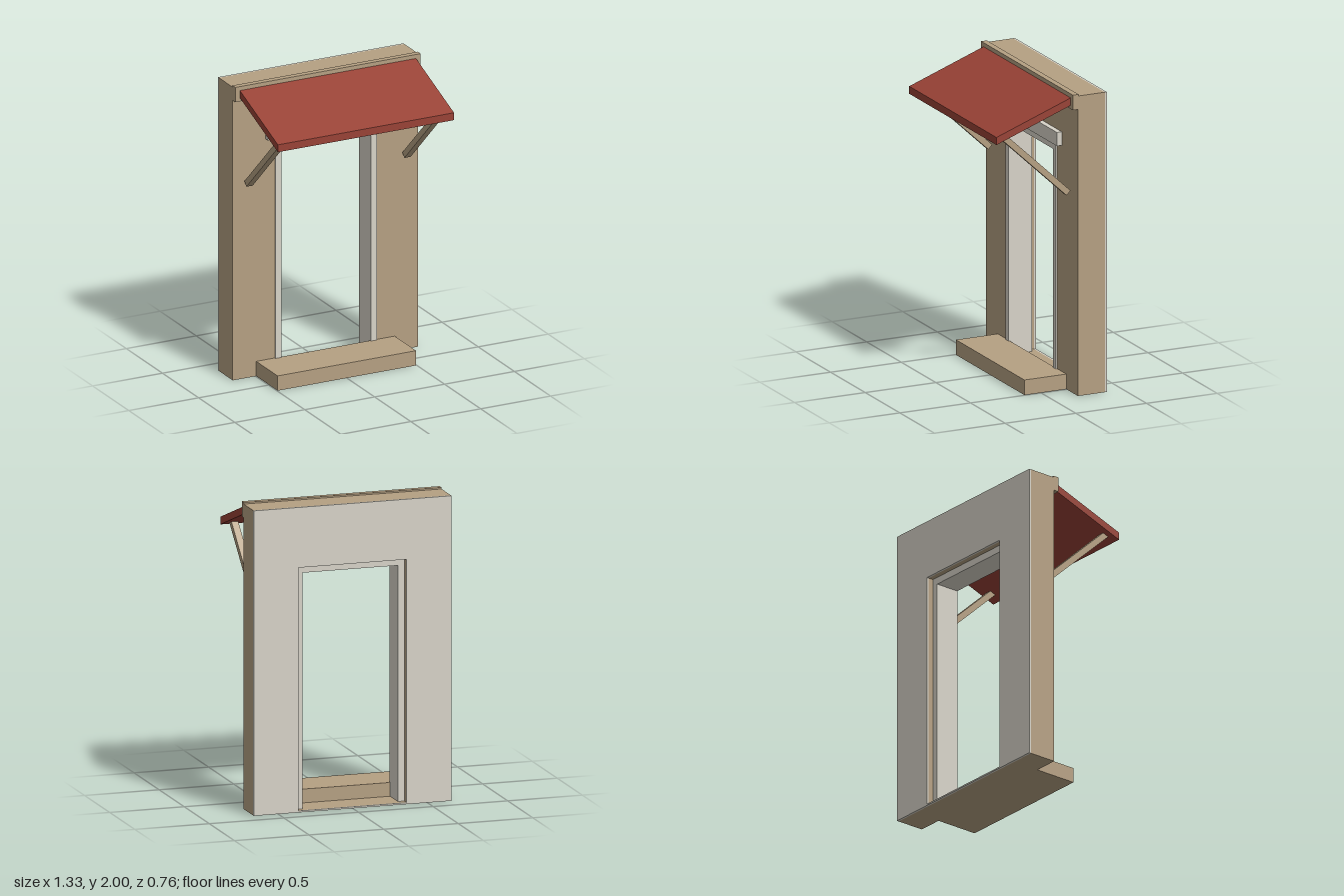
import * as THREE from 'three';

export function createModel() {
  const group = new THREE.Group();
  const mat = (name, color) => {
    const m = new THREE.MeshStandardMaterial({ color });
    m.name = name;
    return m;
  };
  const tan = mat('tan plaster', 0xb5a082);
  const stone = mat('pale stone', 0xd7d3c8);
  const red = mat('red canopy', 0x984236);

  const add = (name, geometry, material) => {
    const mesh = new THREE.Mesh(geometry, material);
    mesh.name = name;
    group.add(mesh);
    return mesh;
  };

  // Box given by its lower and upper corners
  const box = (name, material, [x0, y0, z0], [x1, y1, z1]) => {
    const mesh = add(name, new THREE.BoxGeometry(x1 - x0, y1 - y0, z1 - z0), material);
    mesh.position.set((x0 + x1) / 2, (y0 + y1) / 2, (z0 + z1) / 2);
    return mesh;
  };

  // Closed outline extruded along z from z0 to z1
  const points = (list) => list.map(([x, y]) => new THREE.Vector2(x, y));
  const extrude = (outline, hole, z0, z1) => {
    const shape = new THREE.Shape(points(outline));
    if (hole) shape.holes.push(new THREE.Path(points(hole)));
    const g = new THREE.ExtrudeGeometry(shape, { depth: z1 - z0, bevelEnabled: false });
    return g.translate(0, 0, z0);
  };
  const rect = (w, y0, y1) => [[-w, y0], [w, y0], [w, y1], [-w, y1]];

  // Wall with doorway, and its pale inner lining
  const wall = rect(0.663, 0, 1.99);
  const doorway = rect(0.362, 0.01, 1.597);
  add('wall', extrude(wall, doorway, -0.37, -0.18), tan);
  add('wallLining', extrude(wall, doorway, -0.384, -0.37), stone);

  // Door frame: two jambs and a head in one piece
  add('doorFrame', extrude([
    [-0.362, 0.01], [-0.32, 0.01], [-0.32, 1.55], [0.32, 1.55],
    [0.32, 0.01], [0.362, 0.01], [0.362, 1.597], [-0.362, 1.597],
  ], null, -0.335, -0.17), stone);

  // Lintel, cornice and front step
  box('lintel', stone, [-0.43, 1.6, -0.18], [0.43, 1.69, -0.145]);
  box('cornice', tan, [-0.663, 1.9, -0.185], [0.663, 2, -0.145]);
  box('step', tan, [-0.495, 0, -0.18], [0.495, 0.1, 0.116]);

  // Sloping canopy: side profile (z, y) extruded across x
  const canopy = extrude(
    [[-0.15, 1.925], [0.38, 1.73], [0.38, 1.78], [-0.15, 1.975]], null, -0.63, 0.63);
  add('canopy', canopy.rotateY(-Math.PI / 2), red);

  // Diagonal braces under the canopy
  const low = new THREE.Vector3(0, 1.33, -0.151);
  const high = new THREE.Vector3(0, 1.765, 0.313);
  const along = high.clone().sub(low);
  for (const side of [-1, 1]) {
    const brace = add(side > 0 ? 'leftBrace' : 'rightBrace',
      new THREE.BoxGeometry(0.045, 0.04, along.length()), tan);
    brace.position.copy(low).add(high).multiplyScalar(0.5);
    brace.position.x = side * 0.565;
    brace.rotation.x = -Math.atan2(along.y, along.z);
  }

  return group;
}
